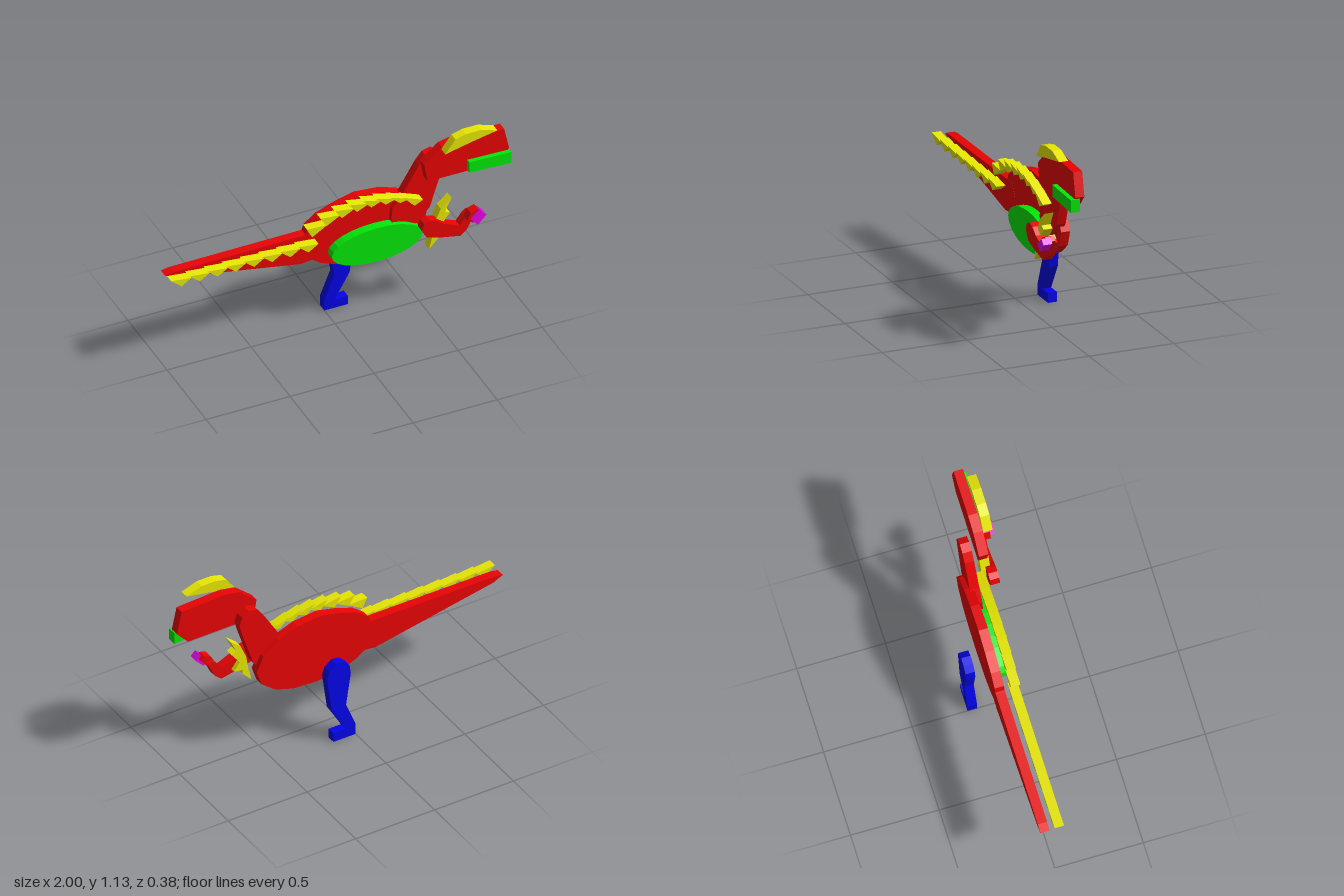
import * as THREE from 'three';

const material = (name, color) => {
  const m = new THREE.MeshStandardMaterial({ color });
  m.name = name;
  return m;
};

const THICK = 0.053;

export function createModel() {
  const red = material('red skin', 0xf80404);
  const green = material('green belly', 0x04f808);
  const blue = material('blue leg', 0x0404f8);
  const yellow = material('yellow spikes', 0xf4f404);
  const magenta = material('magenta claw', 0xf804f8);

  const model = new THREE.Group();
  model.name = 'dinosaur';

  // Flat slab cut from an outline, its back face at z
  const slab = (name, mat, z, points, parent = model) => {
    const shape = new THREE.Shape(points.map(([x, y]) => new THREE.Vector2(x, y)));
    const geometry = new THREE.ExtrudeGeometry(shape, { depth: THICK, bevelEnabled: false });
    const mesh = new THREE.Mesh(geometry, mat);
    mesh.name = name;
    mesh.position.z = z;
    parent.add(mesh);
    return mesh;
  };

  // Body and tail
  slab('body', red, -0.081, [
    [-0.17, 0.6], [-0.15, 0.66], [-0.08, 0.715], [0.03, 0.755], [0.15, 0.785], [0.3, 0.77],
    [0.42, 0.725], [0.52, 0.65], [0.56, 0.56], [0.53, 0.47], [0.44, 0.4], [0.33, 0.365],
    [0.18, 0.355], [0.03, 0.37], [-0.07, 0.41], [-0.14, 0.46],
  ]);
  slab('tail', red, -0.0805, [
    [-1, 0.612], [-0.94, 0.583], [-0.19, 0.44], [-0.1, 0.45], [-0.06, 0.55], [-0.1, 0.63],
    [-0.17, 0.625], [-0.95, 0.62],
  ]);

  // Oval belly
  const belly = [];
  for (let i = 0; i < 24; i++) {
    const a = (i / 24) * Math.PI * 2;
    belly.push([0.24 + 0.27 * Math.cos(a), 0.471 + 0.111 * Math.sin(a)]);
  }
  slab('belly', green, -0.027, belly);

  // Neck, head and jaw
  slab('neck', red, -0.053, [
    [0.335, 0.58], [0.342, 0.66], [0.4, 0.74], [0.5, 0.905], [0.54, 0.955], [0.59, 0.968],
    [0.635, 0.94], [0.652, 0.89], [0.64, 0.84], [0.565, 0.61], [0.5, 0.53], [0.42, 0.505], [0.36, 0.53],
  ]);
  slab('head', red, 0.027, [
    [0.495, 0.957], [0.515, 0.845], [0.93, 0.843], [1, 0.92], [0.97, 1.057], [0.7, 1.068], [0.6, 1.048],
  ]);
  slab('jaw', green, 0.054, [[0.75, 0.85], [1, 0.838], [1, 0.91], [0.75, 0.918]]);
  slab('crest', yellow, 0.081, [
    [0.595, 1.037], [0.75, 1.072], [0.905, 1.102], [0.81, 1.135], [0.72, 1.135], [0.655, 1.118],
  ]);

  // Arm, hand and claw
  slab('arm', red, 0.081, [
    [0.455, 0.57], [0.485, 0.515], [0.56, 0.492], [0.685, 0.466], [0.725, 0.5], [0.77, 0.59],
    [0.74, 0.6], [0.715, 0.58], [0.68, 0.535], [0.59, 0.575], [0.545, 0.61], [0.505, 0.622], [0.47, 0.608],
  ]);
  slab('hand', red, 0.107, [[0.712, 0.575], [0.75, 0.55], [0.797, 0.61], [0.775, 0.632], [0.735, 0.618]]);
  slab('claw', magenta, 0.134, [[0.732, 0.585], [0.765, 0.55], [0.815, 0.602], [0.787, 0.63]]);

  // Throat spikes
  slab('throatSpikes', yellow, 0.054, [
    [0.51, 0.41], [0.57, 0.475], [0.565, 0.495], [0.622, 0.505], [0.585, 0.555], [0.635, 0.62],
    [0.605, 0.635], [0.645, 0.715], [0.58, 0.66], [0.545, 0.58], [0.53, 0.49],
  ]);

  // Rows of back and tail spikes, tips leaning toward the tail
  const spikes = new THREE.Group();
  spikes.name = 'spikes';
  model.add(spikes);
  for (let i = 0; i < 8; i++) {
    const x = -1 + i * 0.108, y = 0.627 - i * 0.001;
    slab('tailSpike', yellow, 0, [[x, y], [x + 0.063, y - 0.052], [x + 0.122, y - 0.013]], spikes);
  }
  const tips = [
    [-0.19, 0.722], [-0.11, 0.77], [-0.025, 0.794], [0.06, 0.807],
    [0.14, 0.81], [0.22, 0.802], [0.3, 0.785], [0.38, 0.76],
  ];
  tips.forEach(([x, y], i) => {
    const t = i / 7;
    slab('backSpike', yellow, 0, [
      [x, y], [x + 0.03 + 0.04 * t, y - 0.06 + 0.005 * t - (i === 7 ? 0.02 : 0)], [x + 0.12, y - 0.005 - 0.045 * t],
    ], spikes);
  });

  // Leg with foot
  slab('leg', blue, -0.188, [
    [0, 0], [0.14, 0], [0.14, 0.055], [0.06, 0.055], [0.15, 0.21], [0.18, 0.43], [0.165, 0.48],
    [0.12, 0.514], [0.075, 0.51], [0.038, 0.475], [0.03, 0.42], [0.06, 0.22], [0, 0.07],
  ]);

  return model;
}
